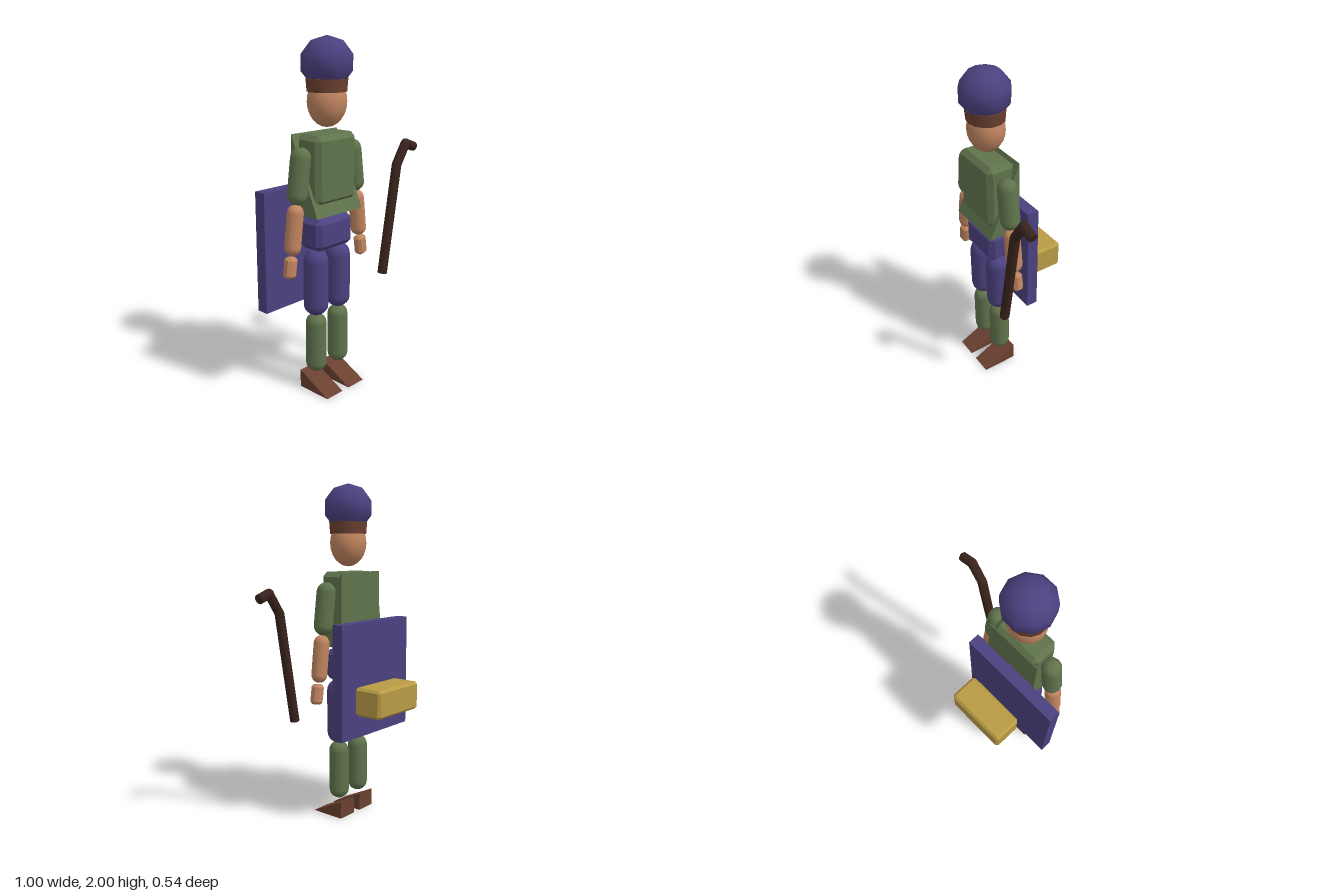
import * as THREE from 'three';
import { ConvexGeometry } from 'three/addons/geometries/ConvexGeometry.js';

const mat = (color, flatShading = false) => new THREE.MeshStandardMaterial({ color, flatShading });
const purple = mat(0x4b4180), green = mat(0x5f734c), skin = mat(0xc08560);
const brown = mat(0x6b4030), darkWood = mat(0x3a231c), gold = mat(0xb99b45);

const CX = -0.125, CZ = 0.115; // centre line of the figure

// Box with bevelled edges and corners
function bevelBox(w, h, d, c) {
  const half = [w / 2, h / 2, d / 2], pts = [];
  for (const sx of [-1, 1]) for (const sy of [-1, 1]) for (const sz of [-1, 1]) {
    for (let face = 0; face < 3; face++) {
      const p = half.map((v, i) => (i === face ? v : v - c));
      pts.push(new THREE.Vector3(sx * p[0], sy * p[1], sz * p[2]));
    }
  }
  return new ConvexGeometry(pts);
}

// Triangular prism: tall edge at the back, sloping down to the front
function wedge(w, h, zBack, zFront) {
  const shape = new THREE.Shape();
  shape.moveTo(zBack, 0);
  shape.lineTo(zFront, 0);
  shape.lineTo(zBack, h);
  const geo = new THREE.ExtrudeGeometry(shape, { depth: w, bevelEnabled: false });
  return geo.translate(0, 0, -w / 2).rotateY(-Math.PI / 2);
}

// Turns a y-aligned geometry so it runs from a to b
function align(mesh, a, b) {
  const dir = b.clone().sub(a).normalize();
  mesh.position.copy(a).lerp(b, 0.5);
  mesh.quaternion.setFromUnitVectors(new THREE.Vector3(0, 1, 0), dir);
  return mesh;
}

export function createModel() {
  const model = new THREE.Group();
  model.name = 'figure';

  const add = (name, geo, material, x = 0, y = 0, z = 0) => {
    const mesh = new THREE.Mesh(geo, material);
    mesh.name = name;
    mesh.position.set(x, y, z);
    model.add(mesh);
    return mesh;
  };
  const limb = (name, material, r, x1, y1, x2, y2) => {
    const a = new THREE.Vector3(x1, y1, CZ), b = new THREE.Vector3(x2, y2, CZ);
    return align(add(name, new THREE.CapsuleGeometry(r, a.distanceTo(b), 5, 12), material), a, b);
  };

  // Head, hair band and cap
  add('head', new THREE.SphereGeometry(1, 16, 12), skin, CX, 1.657, CZ).scale.set(0.113, 0.137, 0.104);
  add('hair', new THREE.CylinderGeometry(0.118, 0.112, 0.07, 14), brown, CX, 1.745, CZ).scale.z = 0.94;
  add('cap', new THREE.SphereGeometry(1, 10, 5), purple, CX, 1.86, CZ).scale.set(0.148, 0.14, 0.148);

  // Torso, tunic and hips
  add('torso', bevelBox(0.31, 0.38, 0.174, 0.028), green, CX, 1.3, CZ);
  add('tunic', wedge(0.355, 0.435, 0.02, 0.215), green, CX, 1.055, 0);
  add('hips', bevelBox(0.28, 0.18, 0.165, 0.028), purple, CX, 0.94, 0.108);

  // Arms and legs, mirrored about the centre line
  for (const [side, s] of [['right', -1], ['left', 1]]) {
    const X = (d) => CX + s * d;
    limb(`${side}UpperArm`, green, 0.057, X(0.2), 1.377, X(0.226), 1.185);
    limb(`${side}Forearm`, skin, 0.047, X(0.243), 1.085, X(0.265), 0.902);
    const hand = add(`${side}Hand`, bevelBox(0.072, 0.118, 0.06, 0.016), skin, X(0.285), 0.79, CZ);
    hand.rotation.z = s * 0.15;
    limb(`${side}Thigh`, purple, 0.072, X(0.09), 0.778, X(0.09), 0.528);
    limb(`${side}Shin`, green, 0.061, X(0.09), 0.404, X(0.09), 0.166);
    add(`${side}Shoe`, wedge(0.127, 0.105, 0.048, 0.265), brown, X(0.09), 0, 0);
  }

  // Back panel and pack behind it
  add('backPanel', new THREE.BoxGeometry(0.635, 0.68, 0.07), purple, -0.183, 0.86, -0.017);
  add('pack', bevelBox(0.387, 0.167, 0.18, 0.015), gold, -0.124, 0.758, -0.18);

  // Walking stick: straight pieces with rounded joints
  const path = [[0.221, 0.622], [0.332, 1.265], [0.41, 1.381], [0.487, 1.353]]
    .map(([x, y]) => new THREE.Vector3(x, y, 0.239));
  for (let i = 0; i < path.length - 1; i++) {
    const a = path[i], b = path[i + 1];
    align(add('stick', new THREE.CylinderGeometry(0.028, 0.028, a.distanceTo(b), 10), darkWood), a, b);
    if (i > 0) add('stickJoint', new THREE.SphereGeometry(0.028, 10, 8), darkWood, a.x, a.y, a.z);
  }

  return model;
}
